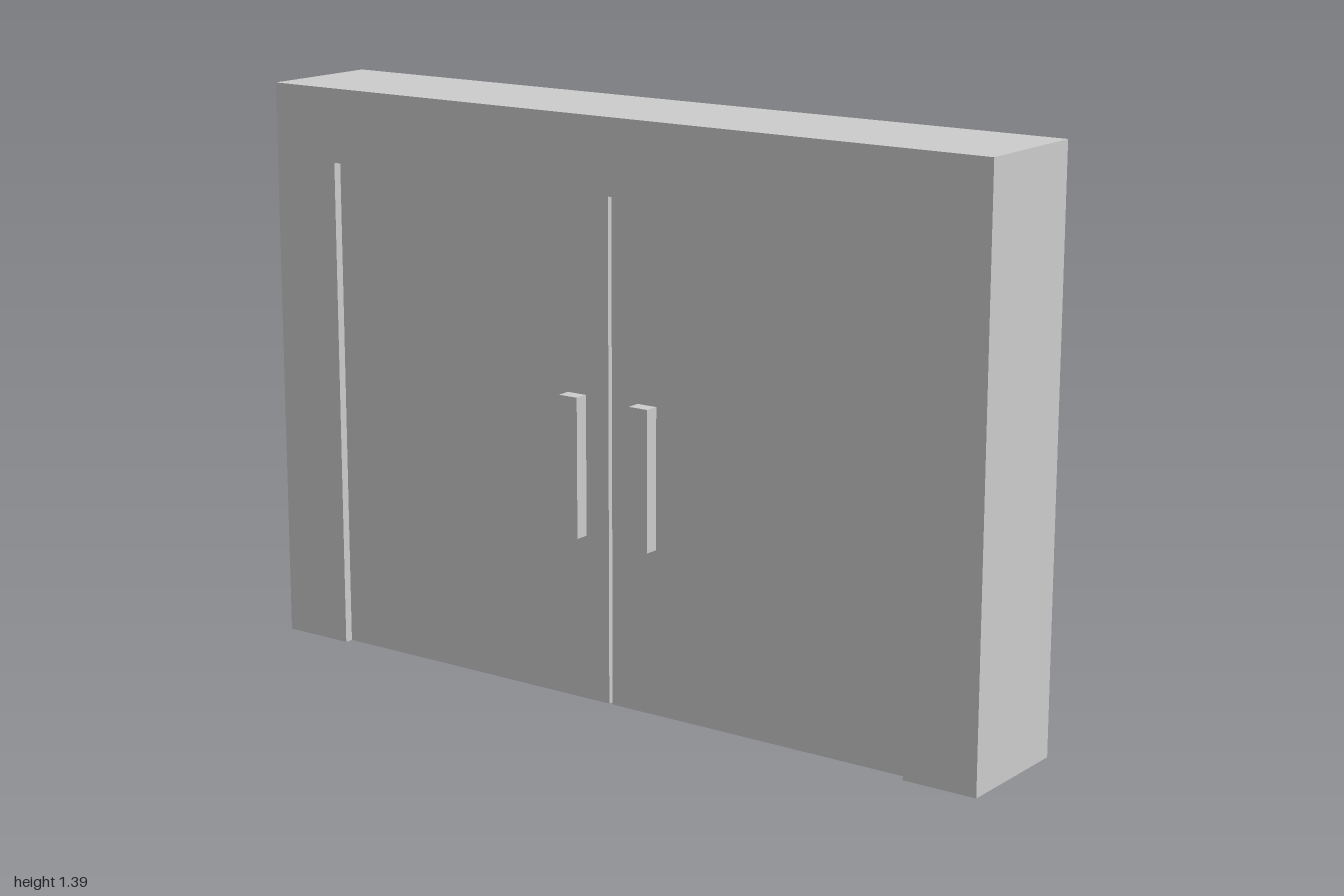
import * as THREE from 'three';

const material = new THREE.MeshStandardMaterial({ color: 0xcccccc, flatShading: true });

// Box given by its minimum and maximum corners
function addBox(parent, name, [x0, y0, z0], [x1, y1, z1]) {
  const mesh = new THREE.Mesh(new THREE.BoxGeometry(x1 - x0, y1 - y0, z1 - z0), material);
  mesh.name = name;
  mesh.position.set((x0 + x1) / 2, (y0 + y1) / 2, (z0 + z1) / 2);
  parent.add(mesh);
}

export function createModel() {
  const model = new THREE.Group();
  model.name = 'doubleDoor';

  const frameZ = 0.157, doorZ = 0.136, handleZ = 0.171;
  const lintelY = 1.212, topY = 1.392, postX = 0.815, gap = 0.005;

  // Frame: lintel on two posts
  addBox(model, 'lintel', [-1, lintelY, -frameZ], [1, topY, frameZ]);
  addBox(model, 'rightPost', [-1, 0, -frameZ], [-postX, lintelY, frameZ]);
  addBox(model, 'leftPost', [postX, 0, -frameZ], [1, lintelY, frameZ]);

  // Recessed door leaves with a narrow gap between them
  addBox(model, 'rightDoor', [-postX, 0, -doorZ], [-gap, lintelY, doorZ]);
  addBox(model, 'leftDoor', [gap, 0, -doorZ], [postX, lintelY, doorZ]);

  // Bar handles on both faces of each leaf
  for (const [side, x] of [['right', -0.122], ['left', 0.079]]) {
    addBox(model, side + 'FrontHandle', [x, 0.4, doorZ], [x + 0.052, 0.738, handleZ]);
    addBox(model, side + 'BackHandle', [x, 0.4, -handleZ], [x + 0.052, 0.738, -doorZ]);
  }
  return model;
}
